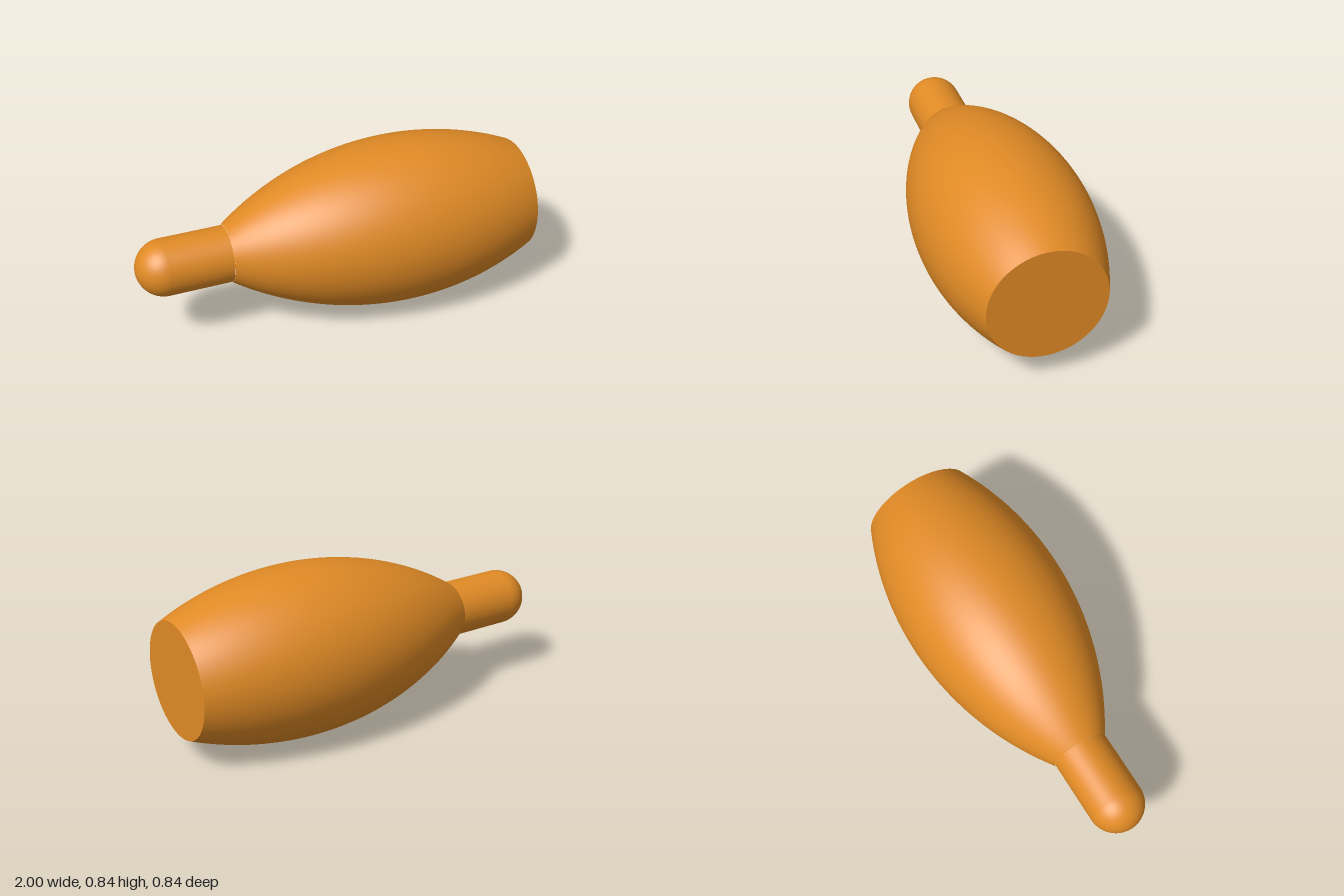
import * as THREE from 'three';

const SEGMENTS = 96;
const AXIS_Y = 0.42;      // height of the long axis
const NECK_R = 0.14;
const BELLY_X = 0.355;    // station of the widest section
const BELLY_R = 0.42;
const ARC_R = 1.605;      // radius of the barrel's side curve
const JOIN_X = -0.548;    // where neck meets body

// Radius of the bulging body at station x
const bodyRadius = (x) => BELLY_R - ARC_R + Math.sqrt(ARC_R ** 2 - (x - BELLY_X) ** 2);

export function createModel() {
  const orange = new THREE.MeshStandardMaterial({ color: 0xe08a25 });
  orange.name = 'orange';

  const model = new THREE.Group();
  model.name = 'bottleShape';

  const add = (name, geometry) => {
    const mesh = new THREE.Mesh(geometry, orange);
    mesh.name = name;
    mesh.position.y = AXIS_Y;
    model.add(mesh);
  };
  // Turned part lying along x
  const turned = (points) => new THREE.LatheGeometry(points, SEGMENTS).rotateZ(-Math.PI / 2);

  // Neck: round tip followed by a straight cylinder
  const neck = [];
  for (let i = 0; i <= 24; i++) {
    const a = (i / 24) * Math.PI / 2;
    neck.push(new THREE.Vector2(NECK_R * Math.sin(a), -1 + NECK_R * (1 - Math.cos(a))));
  }
  neck.push(new THREE.Vector2(NECK_R, JOIN_X));
  add('neck', turned(neck));

  // Body: circular-arc barrel
  const body = [];
  for (let i = 0; i <= 48; i++) {
    const x = THREE.MathUtils.lerp(JOIN_X, 1, i / 48);
    body.push(new THREE.Vector2(bodyRadius(x), x));
  }
  add('body', turned(body));

  // Flat base closing the wide end
  const base = new THREE.CircleGeometry(bodyRadius(1), SEGMENTS).rotateY(Math.PI / 2);
  add('base', base.translate(1, 0, 0));

  return model;
}
